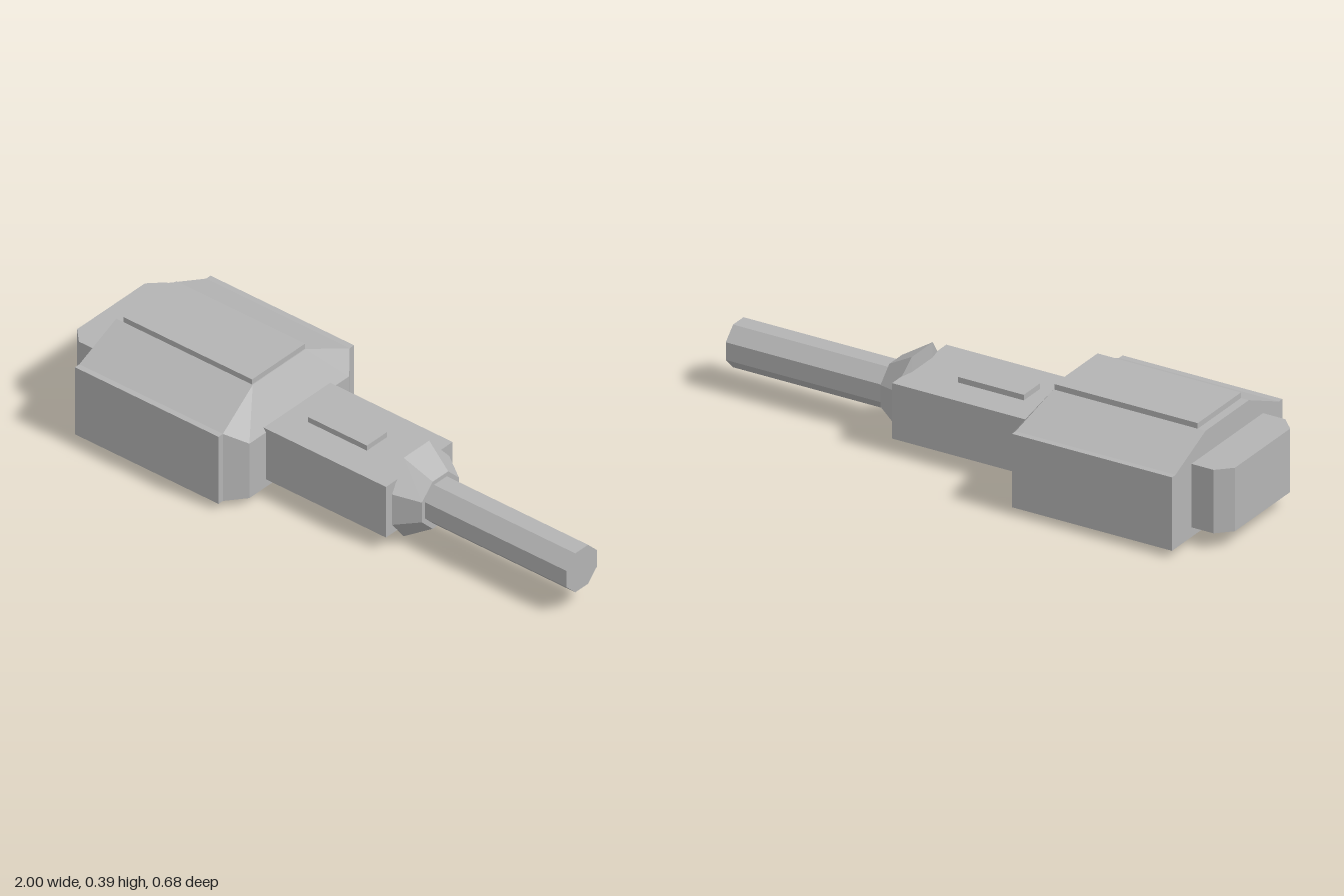
import * as THREE from 'three';
import { ConvexGeometry } from 'three/addons/geometries/ConvexGeometry.js';

export function createModel() {
  const model = new THREE.Group();
  model.name = 'blaster';
  const grey = new THREE.MeshStandardMaterial({ color: 0xb4b4b4 });
  grey.name = 'grey';

  const add = (name, geometry) => {
    const mesh = new THREE.Mesh(geometry, grey);
    mesh.name = name;
    model.add(mesh);
    return mesh;
  };
  // Box from its limits in x and y, and its half width in z
  const box = (name, x0, x1, y0, y1, hz) =>
    add(name, new THREE.BoxGeometry(x1 - x0, y1 - y0, 2 * hz))
      .position.set((x0 + x1) / 2, (y0 + y1) / 2, 0);
  // Faceted solid around corners [x, y, z], mirrored across z
  const solid = (name, corners) =>
    add(name, new ConvexGeometry(corners.flatMap(([x, y, z]) =>
      [new THREE.Vector3(x, y, z), new THREE.Vector3(x, y, -z)])));

  // Wide rear body
  box('bodyBlock', -0.865, -0.255, 0.025, 0.29, 0.34);
  solid('bodyRoofAndNose', [
    [-0.865, 0.025, 0.318], [-0.865, 0.29, 0.318], [-0.865, 0.372, 0.133],
    [-0.285, 0.372, 0.133], [-0.255, 0.29, 0.318], [-0.255, 0.025, 0.318],
    [-0.2, 0.24, 0.25], [-0.2, 0.025, 0.25],
  ]);
  box('roofPlate', -0.835, -0.288, 0.36, 0.392, 0.133);

  // Chamfered pack behind the body
  solid('rearPack', [0.06, 0.289].flatMap((y) =>
    [[-0.86, y, 0.22], [-0.95, y, 0.22], [-1, y, 0.17]]));

  // Middle block with a raised plate
  box('middleBlock', -0.21, 0.31, 0.055, 0.255, 0.167);
  box('middlePlate', -0.12, 0.13, 0.25, 0.275, 0.05);

  // Eight-sided collar with its side corners set forward
  const axis = 0.155;
  solid('collar', [1, -1].flatMap((s) => [
    [0.298, axis + s * 0.155, 0.064], [0.316, axis + s * 0.06, 0.143],
    [0.4, axis + s * 0.093, 0.039], [0.4, axis + s * 0.039, 0.093],
  ]));

  // Eight-sided barrel, flat side up
  const barrel = new THREE.CylinderGeometry(0.0835, 0.0835, 0.65, 8).toNonIndexed();
  barrel.rotateY(Math.PI / 8);
  barrel.rotateZ(-Math.PI / 2);
  barrel.computeVertexNormals();
  add('barrel', barrel).position.set(0.675, axis, 0);

  return model;
}
